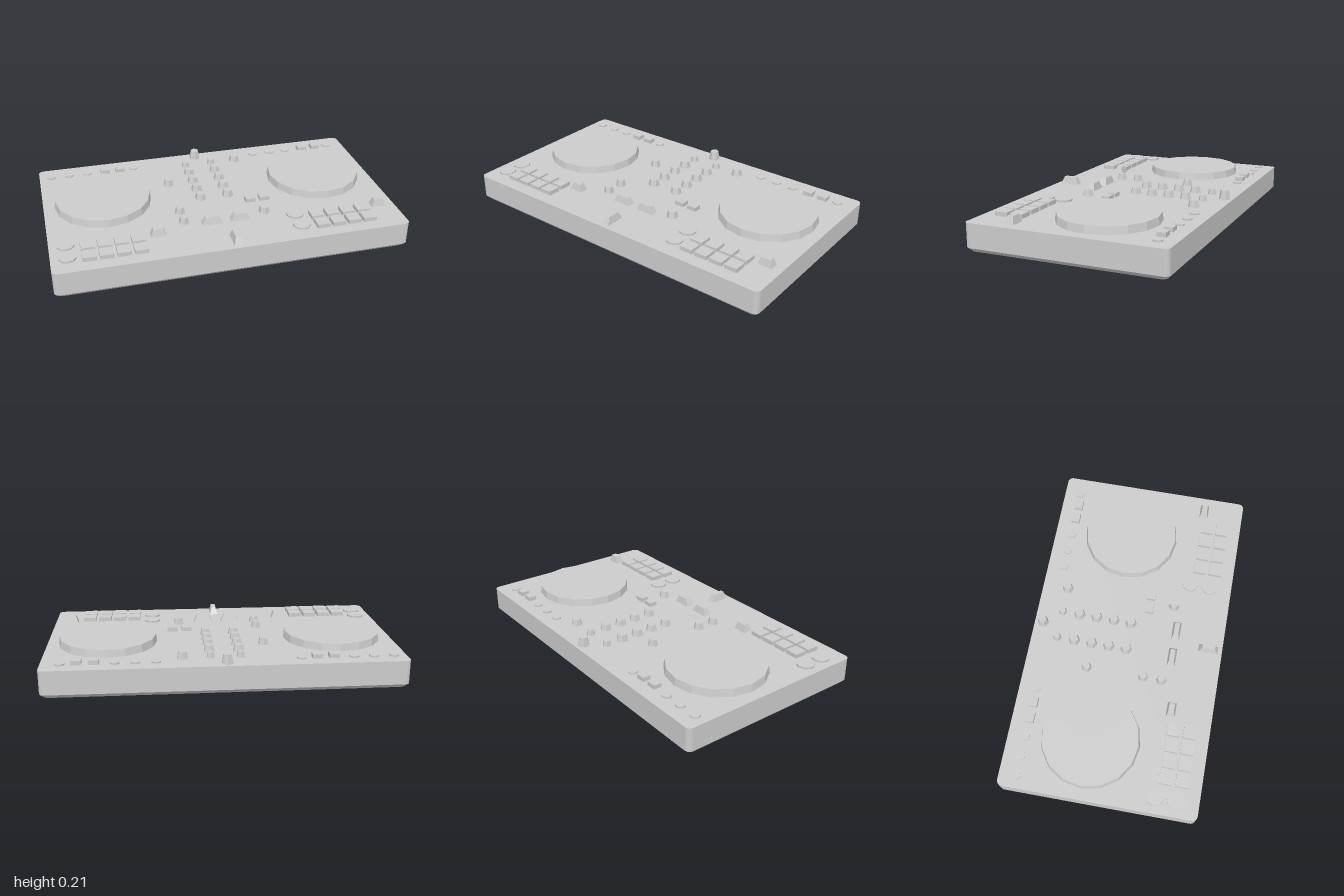
import * as THREE from 'three';

const TOP = 0.157; // height of the control surface

export function createModel() {
  const grey = new THREE.MeshStandardMaterial({ color: 0xcccccc, flatShading: true });
  grey.name = 'plain grey';
  const model = new THREE.Group();
  model.name = 'mixingController';

  const add = (name, geometry, x, y, z, parent = model) => {
    const mesh = new THREE.Mesh(geometry, grey);
    mesh.name = name;
    mesh.position.set(x, y, z);
    parent.add(mesh);
    return mesh;
  };

  // Round parts: optionally tapered, standing on the control surface
  const disc = (name, x, z, rBottom, rTop, height, sides, parent) =>
    add(name, new THREE.CylinderGeometry(rTop, rBottom, height, sides), x, TOP + height / 2, z, parent);

  // Rectangular parts, with the top face drawn in by the taper
  const block = (name, x, z, w, h, d, taperX, taperZ, parent) => {
    const g = new THREE.BoxGeometry(w, h, d);
    const p = g.attributes.position;
    for (let i = 0; i < p.count; i++) {
      if (p.getY(i) > 0) {
        p.setX(i, p.getX(i) - Math.sign(p.getX(i)) * taperX);
        p.setZ(i, p.getZ(i) - Math.sign(p.getZ(i)) * taperZ);
      }
    }
    g.computeVertexNormals();
    return add(name, g, x, TOP + h / 2, z, parent);
  };

  // Case: rounded rectangle with a chamfer around the underside
  const W = 1, D = 0.565, R = 0.03;
  const outline = new THREE.Shape();
  outline.absarc(W - R, D - R, R, 0, Math.PI / 2);
  outline.absarc(-W + R, D - R, R, Math.PI / 2, Math.PI);
  outline.absarc(-W + R, -D + R, R, Math.PI, Math.PI * 1.5);
  outline.absarc(W - R, -D + R, R, Math.PI * 1.5, Math.PI * 2);
  const body = new THREE.ExtrudeGeometry(outline, { depth: TOP, steps: 2, bevelEnabled: false, curveSegments: 4 });
  const p = body.attributes.position;
  for (let i = 0; i < p.count; i++) {
    const h = p.getZ(i);
    if (h < 0.001) {
      p.setX(i, p.getX(i) * (W - 0.02) / W);
      p.setY(i, p.getY(i) * (D - 0.02) / D);
    } else if (h < TOP - 0.001) {
      p.setZ(i, 0.022);
    }
  }
  body.rotateX(-Math.PI / 2);
  body.computeVertexNormals();
  add('case', body, 0, 0, 0);

  // Two identical decks
  for (const [name, x] of [['rightDeck', -0.653], ['leftDeck', 0.653]]) {
    const deck = new THREE.Group();
    deck.name = name;
    deck.position.x = x;
    model.add(deck);

    disc('jogWheel', 0, -0.096, 0.283, 0.276, 0.043, 16, deck);
    for (let row = 0; row < 2; row++) {
      for (let col = 0; col < 4; col++) {
        block('performancePad', -0.142 + col * 0.0925, 0.36 + row * 0.092, 0.076, 0.024, 0.074, 0, 0, deck);
      }
      disc('transportButton', -0.256, 0.315 + row * 0.117, 0.05, 0.05, 0.011, 10, deck);
    }
    block('tempoSlider', 0.25, 0.326, 0.084, 0.043, 0.052, 0.014, 0.01, deck);
    for (const bx of [0.059, 0.153]) block('loopButton', bx, -0.46, 0.056, 0.024, 0.048, 0, 0, deck);
    for (const bx of [-0.275, -0.163, -0.052, 0.24]) disc('smallButton', bx, -0.467, 0.027, 0.027, 0.009, 10, deck);
  }

  // Mixer knobs: hexagonal and tapered
  const knob = (x, z, r, h) => disc('knob', x, z, r, r * 0.74, h, 6);
  for (const x of [-0.085, 0.081]) {
    knob(x, -0.412, 0.026, 0.032);
    for (let i = 0; i < 4; i++) knob(x, -0.308 + i * 0.104, 0.035, 0.038);
  }
  knob(-0.003, -0.514, 0.034, 0.053);
  for (const z of [-0.412, 0.24]) knob(0.235, z, 0.034, 0.038);
  for (const z of [-0.203, 0.131, 0.24]) knob(-0.238, z, 0.031, 0.038);

  // Mixer faders and buttons
  for (const x of [-0.088, 0.08]) block('channelFader', x, 0.279, 0.113, 0.043, 0.048, 0.02, 0.01);
  block('crossfader', 0, 0.482, 0.046, 0.043, 0.115, 0.01, 0.02);
  for (const x of [0.191, 0.277]) block('cueButton', x, 0.097, 0.058, 0.024, 0.048, 0, 0);

  return model;
}
